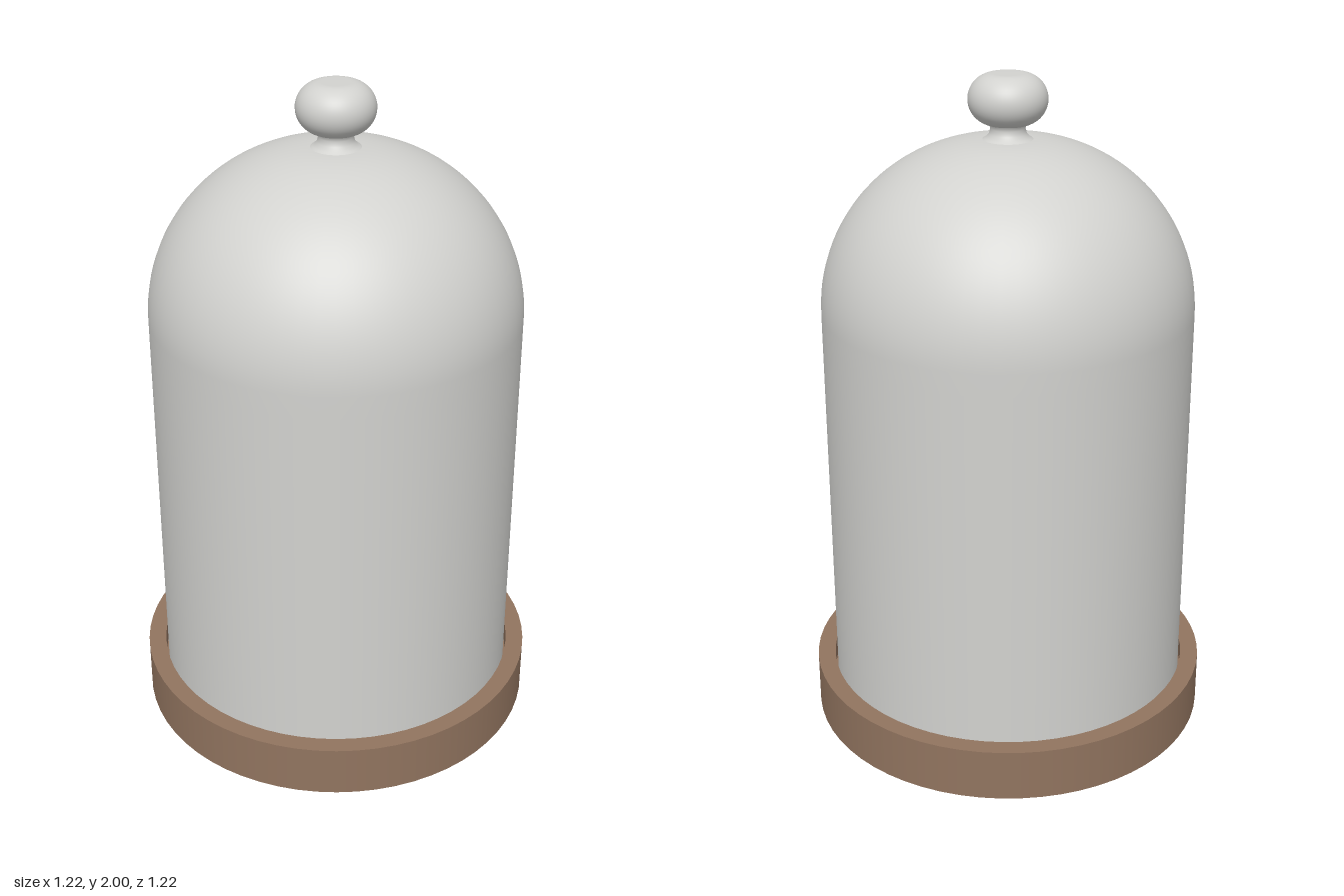
import * as THREE from 'three';
import { mergeGeometries } from 'three/addons/utils/BufferGeometryUtils.js';

const SEGMENTS = 64;

// Lathe several profile sections into one geometry; normals stay sharp between sections.
function turned(name, sections, material) {
  const parts = sections.map(
    (pts) => new THREE.LatheGeometry(pts.map(([r, y]) => new THREE.Vector2(r, y)), SEGMENTS)
  );
  const mesh = new THREE.Mesh(mergeGeometries(parts), material);
  mesh.name = name;
  return mesh;
}

// Points on a circular arc from angle a to angle b (degrees).
function arc(cx, cy, radius, a, b, steps) {
  return Array.from({ length: steps + 1 }, (_, i) => {
    const t = THREE.MathUtils.degToRad(a + ((b - a) * i) / steps);
    return [cx + radius * Math.cos(t), cy + radius * Math.sin(t)];
  });
}

export function createModel() {
  const glass = new THREE.MeshStandardMaterial({ color: 0xd2d2cf });
  glass.name = 'pale glass';
  const wood = new THREE.MeshStandardMaterial({ color: 0x91745f });
  wood.name = 'brown wood';

  const group = new THREE.Group();
  group.name = 'bellJar';

  // Round base with a shallow recess that holds the jar
  const base = [[0, 0], [0.61, 0], [0.61, 0.16], [0.556, 0.16], [0.556, 0.1], [0, 0.1]];
  group.add(turned('base', base.slice(1).map((p, i) => [base[i], p]), wood));

  // Straight wall rolling over into the dome
  group.add(turned('dome', [
    [[0, 0.101], [0.549, 0.101]],
    [[0.549, 0.101], [0.549, 1.25], ...arc(0.049, 1.315, 0.5, 0, 90, 28), [0, 1.815]],
  ], glass));

  // Flared neck
  group.add(turned('neck', [
    [[0.085, 1.808], [0.065, 1.818], [0.054, 1.83], [0.05, 1.845], [0.054, 1.858], [0.065, 1.868]],
  ], glass));

  // Knob with a rounded rim and a small flat top
  group.add(turned('knob', [
    [[0, 1.855], ...arc(0.042, 1.928, 0.072, -90, 90, 24), [0, 2]],
  ], glass));

  return group;
}
